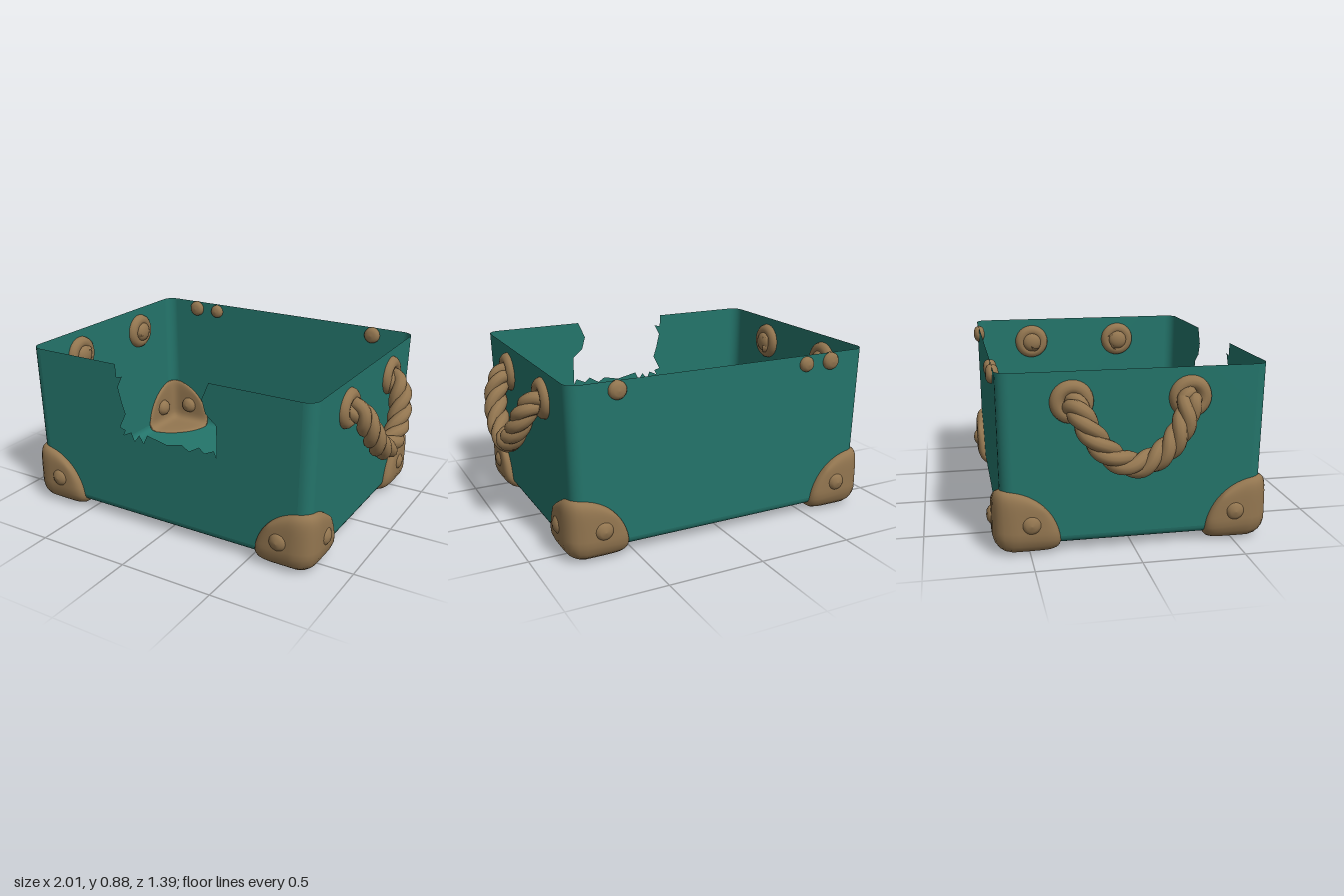
import * as THREE from 'three';
import { mergeVertices } from 'three/addons/utils/BufferGeometryUtils.js';

const BASE = 0.05, TOP = 0.89, R = 0.06;
const halfX = (y) => 0.812 + 0.018 * (y - BASE) / (TOP - BASE);
const halfZ = (y) => 0.633 + 0.011 * (y - BASE) / (TOP - BASE);

function makeGeometry(positions, index) {
  const g = new THREE.BufferGeometry();
  g.setAttribute('position', new THREE.Float32BufferAttribute(positions, 3));
  g.setIndex(index);
  return g;
}

// Rounded-rectangle ring, running from the front +x corner around the back to the front -x corner
function ring(y, inset) {
  const pts = [], steps = 6;
  const corners = [[1, 1], [1, -1], [-1, -1], [-1, 1]];
  corners.forEach(([sx, sz], c) => {
    for (let i = 0; i <= steps; i++) {
      const a = Math.PI / 2 * (1 - c - i / steps), r = R - inset;
      pts.push([sx * (halfX(y) - R) + r * Math.cos(a), y, sz * (halfZ(y) - R) + r * Math.sin(a)]);
    }
  });
  return pts;
}

function loft(rings, closed) {
  const n = rings[0].length, index = [];
  for (let j = 0; j < rings.length - 1; j++) {
    for (let i = 0; i < (closed ? n : n - 1); i++) {
      const a = j * n + i, b = j * n + (i + 1) % n;
      index.push(a, b, a + n, b, b + n, a + n);
    }
  }
  const g = makeGeometry(rings.flat(2), index);
  g.computeVertexNormals();
  return g;
}

// Curved shell wrapping one bottom corner: three quarter-disc faces, outside and inside
function capGeometry(sx, sz) {
  const N = 16, L = 0.28, pos = [], index = [];
  for (const [height, outer] of [[0.042, true], [-0.014, false]]) {
    for (let k = 0; k < 3; k++) {
      const start = pos.length / 3;
      for (let i = 0; i <= N; i++) {
        for (let j = 0; j <= N; j++) {
          const s = Math.sin(i / N * Math.PI / 2), t = Math.sin(j / N * Math.PI / 2);
          const p = [0, 0, 0];
          p[(k + 1) % 3] = L * s * Math.sqrt(1 - t * t / 2);
          p[(k + 2) % 3] = L * t * Math.sqrt(1 - s * s / 2);
          const point = new THREE.Vector3(...p);
          const core = new THREE.Vector3(...p.map((v) => Math.max(v, R)));
          const h = height * Math.sqrt(Math.max(0, 1 - Math.max(s, t) ** 10));
          const q = point.sub(core).normalize().multiplyScalar(R + h).add(core);
          pos.push(sx * (0.812 - q.x), BASE + q.y, sz * (0.633 - q.z));
        }
      }
      const flip = (sx * sz > 0) === outer;
      for (let i = 0; i < N; i++) {
        for (let j = 0; j < N; j++) {
          const a = start + i * (N + 1) + j, b = a + N + 1;
          if (flip) index.push(a, a + 1, b, b, a + 1, b + 1);
          else index.push(a, b, a + 1, b, b + 1, a + 1);
        }
      }
    }
  }
  const g = mergeVertices(makeGeometry(pos, index), 1e-5);
  g.computeVertexNormals();
  return g;
}

// One strand wound around the handle's centre line
class Strand extends THREE.Curve {
  constructor(path, phase, turns) {
    super();
    this.path = path;
    this.phase = phase;
    this.turns = turns;
  }
  getPoint(t, target = new THREE.Vector3()) {
    const tangent = this.path.getTangentAt(t);
    const side = new THREE.Vector3(1, 0.3, 0).cross(tangent).normalize();
    const up = tangent.clone().cross(side);
    const a = this.phase + t * this.turns * Math.PI * 2;
    return target.copy(this.path.getPointAt(t))
      .addScaledVector(side, 0.028 * Math.cos(a)).addScaledVector(up, 0.028 * Math.sin(a));
  }
}

export function createModel() {
  const green = new THREE.MeshStandardMaterial({ color: 0x24756b, side: THREE.DoubleSide });
  green.name = 'green';
  const tan = new THREE.MeshStandardMaterial({ color: 0x937650 });
  tan.name = 'tan';

  const model = new THREE.Group();
  model.name = 'openBox';
  const add = (name, geometry, material, parent = model) => {
    const mesh = new THREE.Mesh(geometry, material);
    mesh.name = name;
    parent.add(mesh);
    return mesh;
  };

  // Floor with a rounded lower edge
  const lower = [ring(BASE, 0.04).map(() => [0, BASE, 0]), ring(BASE, 0.05)];
  for (let i = 0; i <= 5; i++) {
    const a = i / 5 * Math.PI / 2;
    lower.push(ring(BASE + 0.04 * (1 - Math.cos(a)), 0.04 * (1 - Math.sin(a))));
  }
  const sill = BASE + 0.04;
  add('floor', loft(lower, true), green);

  // Back and side walls with the rounded corners
  add('walls', loft([ring(sill, 0), ring(0.4, 0), ring(TOP, 0)], false), green);

  // Front wall with a ragged broken opening
  const edge = (y) => halfX(y) - R;
  const notch = [
    [0.28, 0.89], [0.24, 0.8], [0.26, 0.73], [0.32, 0.68], [0.32, 0.51], [0.305, 0.545],
    [0.25, 0.52], [0.22, 0.545], [0.16, 0.51], [0.12, 0.535], [0.03, 0.515], [-0.09, 0.54],
    [-0.115, 0.49], [-0.14, 0.53], [-0.17, 0.49], [-0.19, 0.535], [-0.24, 0.51], [-0.225, 0.54],
    [-0.26, 0.55], [-0.22, 0.63], [-0.24, 0.69], [-0.26, 0.77], [-0.23, 0.83], [-0.265, 0.82], [-0.27, 0.89],
  ];
  const outline = [[-edge(sill), sill], [edge(sill), sill], [edge(TOP), TOP], ...notch, [-edge(TOP), TOP]];
  const front = new THREE.ShapeGeometry(new THREE.Shape(outline.map((p) => new THREE.Vector2(...p))));
  const fp = front.attributes.position;
  for (let i = 0; i < fp.count; i++) fp.setZ(i, halfZ(fp.getY(i)));
  add('frontWall', front, green);

  // Rounded rivet that shows on both faces of a wall
  const rivetProfile = [[0, -1], [0.5, -0.92], [0.82, -0.7], [0.98, -0.35], [1, 0], [0.98, 0.35], [0.82, 0.7], [0.5, 0.92], [0, 1]];
  const rivetGeometry = new THREE.LatheGeometry(rivetProfile.map((p) => new THREE.Vector2(...p)), 24);
  const rivet = (name, x, y, z, radius, depth, onSide, parent) => {
    const m = add(name, rivetGeometry, tan, parent);
    m.position.set(x, y, z);
    m.scale.set(radius, depth, radius);
    if (onSide) m.rotation.z = -Math.PI / 2;
    else m.rotation.x = Math.PI / 2;
  };

  // Corner guards, each with two rivets
  for (const sx of [1, -1]) {
    for (const sz of [1, -1]) {
      const corner = new THREE.Group();
      corner.name = `${sz > 0 ? 'front' : 'back'}${sx > 0 ? 'Left' : 'Right'}Corner`;
      model.add(corner);
      add('cornerGuard', capGeometry(sx, sz), tan, corner);
      rivet('cornerRivet', sx * 0.675, 0.172, sz * 0.64, 0.052, 0.056, false, corner);
      rivet('cornerRivet', sx * 0.815, 0.17, sz * 0.495, 0.052, 0.056, true, corner);
    }
  }

  // Rivets along the top of the back wall
  for (const [x, r] of [[0.585, 0.046], [-0.46, 0.04], [-0.61, 0.046]]) {
    rivet('backRivet', x, 0.845, -0.642, r, 0.032, false, model);
  }

  // Twisted rope handles hung from an eyelet at each end
  const ropePath = [
    [0.8, 0.74, 0.25], [0.875, 0.735, 0.24], [0.92, 0.645, 0.205], [0.94, 0.53, 0.12], [0.942, 0.467, 0],
    [0.942, 0.49, -0.1], [0.93, 0.58, -0.2], [0.885, 0.71, -0.275], [0.8, 0.75, -0.3],
  ];
  for (const sx of [1, -1]) {
    const handle = new THREE.Group();
    handle.name = sx > 0 ? 'leftHandle' : 'rightHandle';
    model.add(handle);
    const path = new THREE.CatmullRomCurve3(ropePath.map(([x, y, z]) => new THREE.Vector3(sx * x, y, z)));
    for (let s = 0; s < 3; s++) {
      const strand = new Strand(path, s * Math.PI * 2 / 3, 3.5 * sx);
      add('ropeStrand', new THREE.TubeGeometry(strand, 120, 0.034, 10), tan, handle);
    }
    for (const z of [0.26, -0.3]) {
      const eyelet = add('eyelet', new THREE.TorusGeometry(0.068, 0.035, 12, 32), tan, handle);
      eyelet.rotation.y = Math.PI / 2;
      eyelet.position.set(sx * 0.827, 0.747, z);
      const end = add('ropeEnd', new THREE.SphereGeometry(0.058, 20, 14), tan, handle);
      end.scale.x = 0.6;
      end.position.set(sx * 0.803, 0.745, z);
    }
  }
  return model;
}
